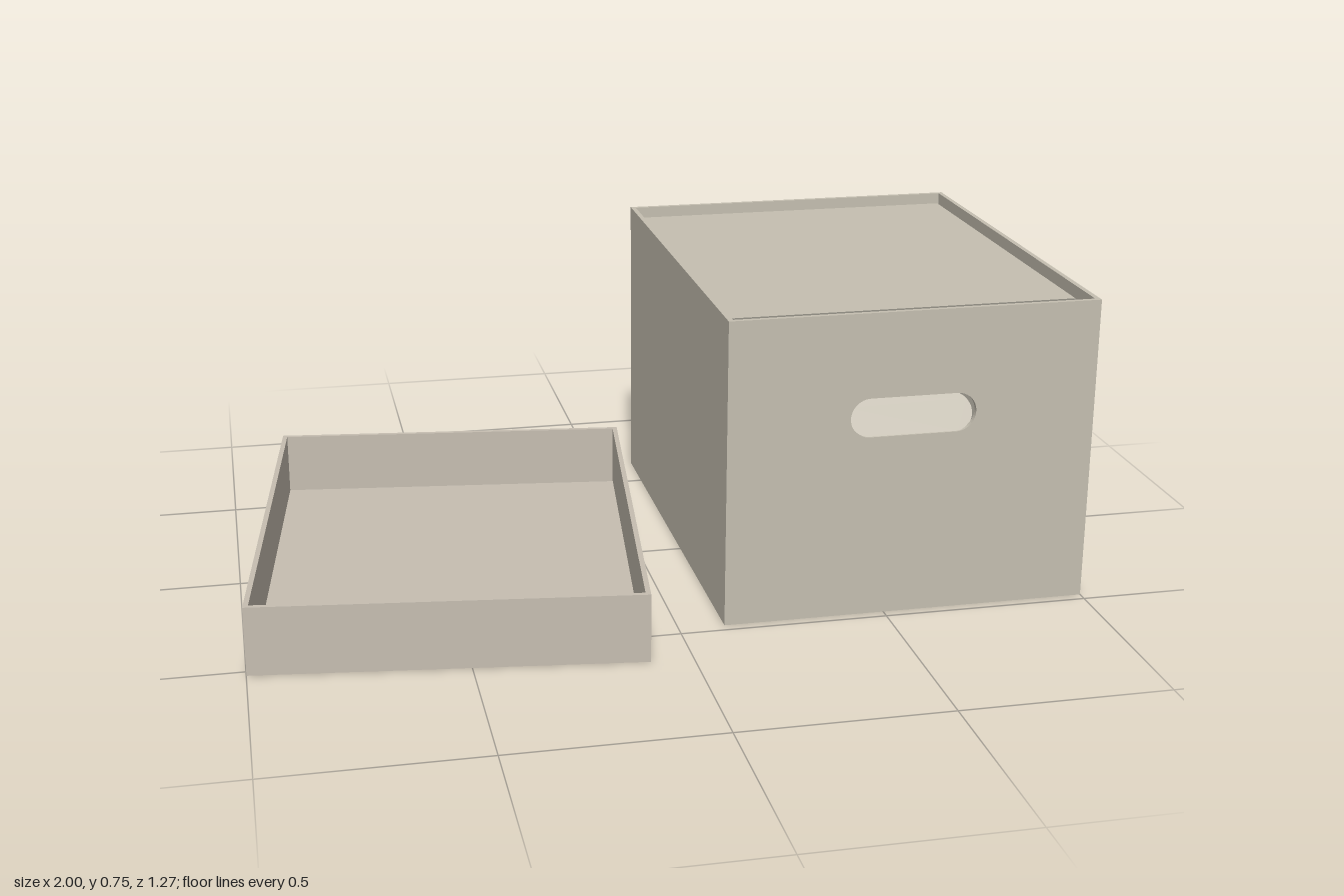
import * as THREE from 'three';

const T = 0.012; // card thickness

// Rounded slot outline, centred on x, standing on y = bottom
function slot(target, bottom, halfLength, r) {
  const cx = halfLength - r, cy = bottom + r;
  target.moveTo(-cx, bottom);
  target.lineTo(cx, bottom);
  target.absarc(cx, cy, r, -Math.PI / 2, Math.PI / 2, false);
  target.lineTo(-cx, bottom + 2 * r);
  target.absarc(-cx, cy, r, Math.PI / 2, Math.PI * 1.5, false);
  return target;
}

function addBox(parent, name, material, w, h, d, x, y, z) {
  const mesh = new THREE.Mesh(new THREE.BoxGeometry(w, h, d), material);
  mesh.name = name;
  mesh.position.set(x, y, z);
  parent.add(mesh);
  return mesh;
}

function extrude(name, shape, material) {
  const geo = new THREE.ExtrudeGeometry(shape, { depth: T, bevelEnabled: false, curveSegments: 12 });
  const mesh = new THREE.Mesh(geo, material);
  mesh.name = name;
  return mesh;
}

export function createModel() {
  const card = new THREE.MeshStandardMaterial({ color: 0xc5bfb1 });
  card.name = 'grey card';
  const lidCard = new THREE.MeshStandardMaterial({ color: 0xc6beb1 });
  lidCard.name = 'lid card';
  const darkCard = new THREE.MeshStandardMaterial({ color: 0x98948a });
  darkCard.name = 'dark card';

  const model = new THREE.Group();
  model.name = 'storageBoxWithLid';

  // Box body
  const W = 0.89, H = 0.745, D = 1.115;
  const box = new THREE.Group();
  box.name = 'box';
  box.position.set(0.555, 0, -0.0825);
  model.add(box);
  addBox(box, 'boxFloor', card, W - 2 * T, T, D - 2 * T, 0, T / 2, 0);
  for (const s of [-1, 1]) {
    addBox(box, s > 0 ? 'leftWall' : 'rightWall', card, T, H, D - 2 * T, s * (W - T) / 2, H / 2, 0);
  }

  // End walls with a handle slot and its pushed-in flap
  const slotBottom = 0.445, slotHalf = 0.152, slotR = 0.0475;
  for (const end of ['front', 'back']) {
    const side = new THREE.Group();
    side.name = end + 'End';
    side.rotation.y = end === 'front' ? 0 : Math.PI;
    box.add(side);

    const wall = new THREE.Shape();
    wall.moveTo(-W / 2, 0);
    wall.lineTo(W / 2, 0);
    wall.lineTo(W / 2, H);
    wall.lineTo(-W / 2, H);
    wall.closePath();
    wall.holes.push(slot(new THREE.Path(), slotBottom, slotHalf, slotR));
    const panel = extrude(end + 'Wall', wall, card);
    panel.position.z = D / 2 - T;
    side.add(panel);

    const flap = extrude(end + 'HandleFlap', slot(new THREE.Shape(), 0, slotHalf, slotR), card);
    flap.geometry.translate(0, 0, -T);
    flap.position.set(0, slotBottom, D / 2 - 0.004);
    flap.rotation.x = -0.54;
    side.add(flap);
  }

  // Filling of the box, pushed against the back
  addBox(box, 'contents', [darkCard, darkCard, card, darkCard, darkCard, darkCard],
    0.85, 0.72 - T, 0.985, 0, (0.72 + T) / 2, -0.04);

  // Lid lying open side up, slightly turned
  const LW = 0.907, LH = 0.166, LD = 1.129;
  const lid = new THREE.Group();
  lid.name = 'lid';
  lid.position.set(-0.48, 0, 0.016);
  lid.rotation.y = -0.123;
  model.add(lid);
  addBox(lid, 'lidPanel', lidCard, LW, T, LD, 0, T / 2, 0);
  for (const s of [-1, 1]) {
    addBox(lid, 'lidSide', lidCard, T, LH - T, LD, s * (LW - T) / 2, (LH + T) / 2, 0);
    addBox(lid, 'lidEnd', lidCard, LW - 2 * T, LH - T, T, 0, (LH + T) / 2, s * (LD - T) / 2);
  }

  return model;
}
